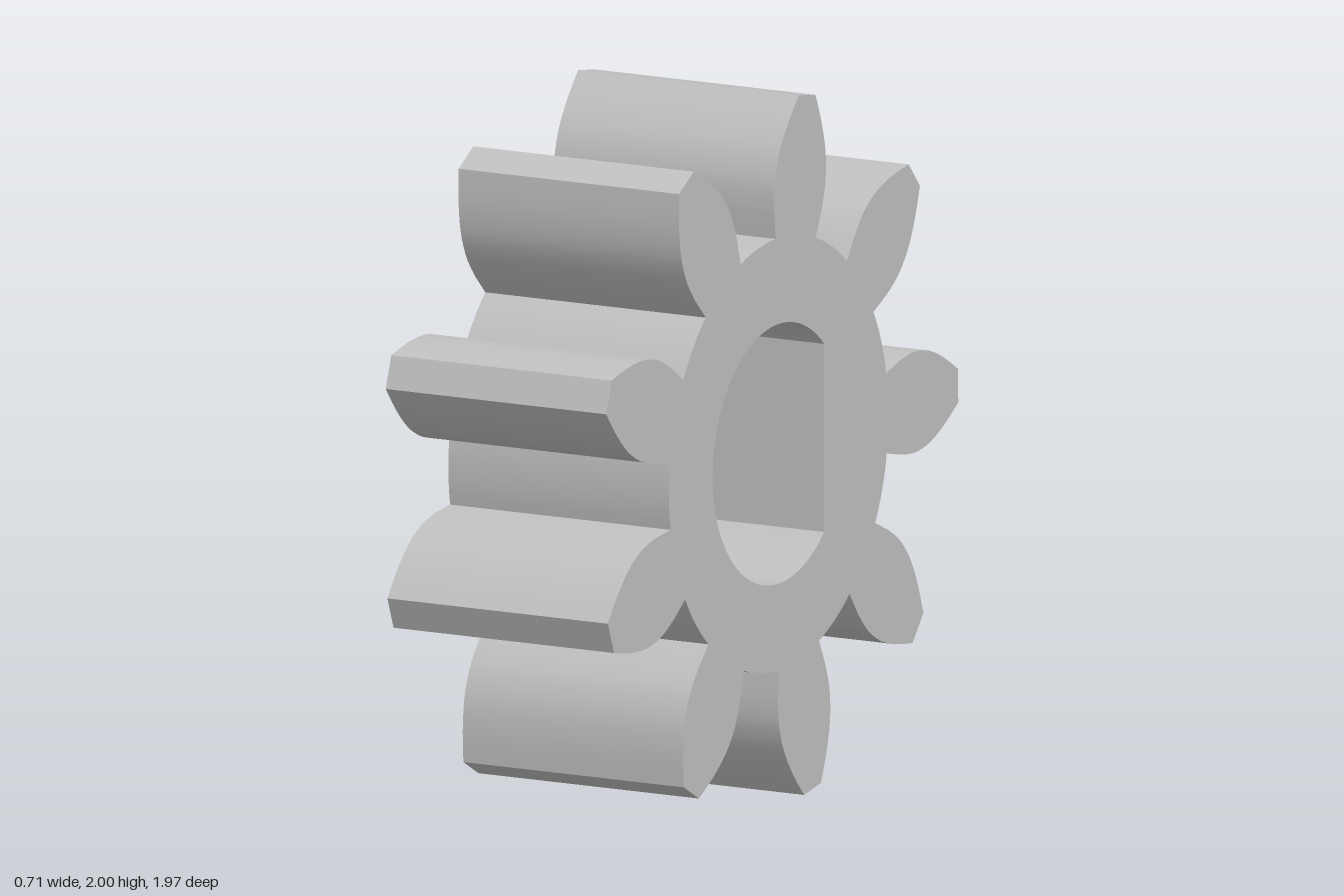
import * as THREE from 'three';
import { toCreasedNormals } from 'three/addons/utils/BufferGeometryUtils.js';

const TEETH = 9, ROOT_R = 0.616, WIDTH = 0.71;
const BORE_R = 0.37, FLAT_X = 0.255;
const PHASE = THREE.MathUtils.degToRad(0.9);

// One tooth flank: distance from the axis, half width
function flankPoints() {
  const knots = [[0.68, 0.134], [0.73, 0.142], [0.78, 0.143], [0.85, 0.13], [0.93, 0.095], [1.007, 0.048]];
  const curve = new THREE.SplineCurve(knots.map(p => new THREE.Vector2(...p)));
  return [new THREE.Vector2(0.605, 0.114), ...curve.getPoints(15)];
}

// Closed outline: each tooth, then the root arc to the next one
function gearOutline() {
  const flank = flankPoints();
  const origin = new THREE.Vector2();
  const tooth = [
    ...flank.map(p => new THREE.Vector2(p.x, -p.y)),
    ...flank.slice().reverse(),
  ];
  const rootHalf = Math.atan2(flank[0].y, flank[0].x);
  const pitch = (Math.PI * 2) / TEETH;
  const points = [];
  for (let i = 0; i < TEETH; i++) {
    const angle = PHASE + i * pitch;
    tooth.forEach(p => points.push(p.clone().rotateAround(origin, angle)));
    for (let k = 1; k < 6; k++) {
      const a = angle + rootHalf + (pitch - 2 * rootHalf) * (k / 6);
      points.push(new THREE.Vector2(Math.cos(a) * ROOT_R, Math.sin(a) * ROOT_R));
    }
  }
  return points;
}

export function createModel() {
  const grey = new THREE.MeshStandardMaterial({ color: 0xc0c0c0 });
  grey.name = 'light grey';

  const shape = new THREE.Shape(gearOutline());

  // D-shaped shaft bore
  const a = Math.acos(FLAT_X / BORE_R);
  const bore = new THREE.Path();
  bore.absarc(0, 0, BORE_R, a, Math.PI * 2 - a, false);
  bore.closePath();
  shape.holes.push(bore);

  // Extrude, then turn the gear axis onto x
  const extruded = new THREE.ExtrudeGeometry(shape, { depth: WIDTH, bevelEnabled: false, curveSegments: 56 });
  extruded.translate(0, 0, -WIDTH / 2);
  extruded.rotateY(Math.PI / 2);

  const gear = new THREE.Mesh(toCreasedNormals(extruded, 0.45), grey);
  gear.name = 'pinionGear';
  gear.position.set(0, 1, 0.02);

  const model = new THREE.Group();
  model.name = 'pinion';
  model.add(gear);
  return model;
}
